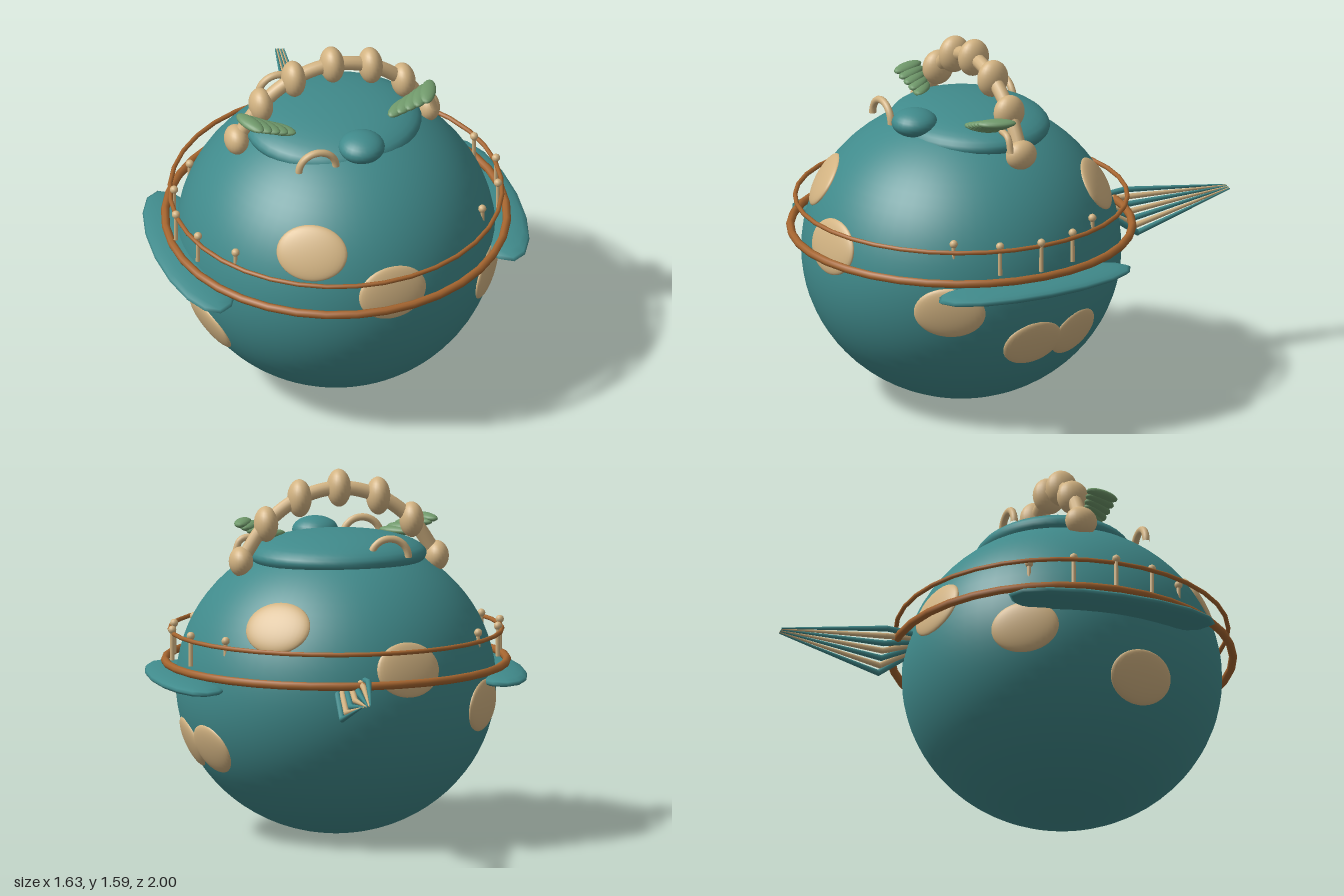
import * as THREE from 'three';

const material = (name, color) => {
  const m = new THREE.MeshStandardMaterial({ color });
  m.name = name;
  return m;
};

export function createModel() {
  const teal = material('teal', 0x408a8b);
  const tan = material('tan', 0xd2b382);
  const wood = material('wood', 0xa5652f);
  const green = material('leaf green', 0x70996b);

  const model = new THREE.Group();
  const CZ = 0.24; // body centre in z
  const V = (x, y, z) => new THREE.Vector3(x, y, z);

  const add = (name, geometry, mat, pos = [0, 0, 0], parent = model) => {
    const mesh = new THREE.Mesh(geometry, mat);
    mesh.name = name;
    mesh.position.set(...pos);
    parent.add(mesh);
    return mesh;
  };
  const group = (name) => {
    const g = new THREE.Group();
    g.name = name;
    model.add(g);
    return g;
  };
  const ellipsoid = (name, mat, pos, radii, parent = model, w = 24, h = 16) =>
    add(name, new THREE.SphereGeometry(1, w, h).scale(...radii), mat, pos, parent);

  // Tapered rod between two points
  const rod = (name, mat, a, b, ra, rb, parent) => {
    const dir = b.clone().sub(a);
    const mesh = add(name, new THREE.CylinderGeometry(rb, ra, dir.length(), 8), mat,
      a.clone().add(b).multiplyScalar(0.5).toArray(), parent);
    mesh.quaternion.setFromUnitVectors(V(0, 1, 0), dir.normalize());
    return mesh;
  };

  // Body, lid and knob
  ellipsoid('body', teal, [0, 0.65, CZ], [0.69, 0.65, 0.69], model, 64, 40);
  ellipsoid('lid', teal, [0, 1.22, 0.2], [0.385, 0.1, 0.335], model, 40, 20);
  ellipsoid('knob', teal, [0.04, 1.278, 0.49], [0.1, 0.06, 0.1]);

  // Oval spots lying on the body
  const spots = group('spots');
  [
    [-0.27, 0.97, 0.77, 0.155, 0.122],
    [0.055, 0.785, 0.9, 0.155, 0.12],
    [0.565, 0.595, 0.605, 0.155, 0.115],
    [0.64, 0.41, 0.235, 0.14, 0.115],
    [0.6, 0.41, 0.01, 0.13, 0.115],
    [-0.61, 0.41, 0.39, 0.15, 0.12],
    [0.36, 0.98, -0.24, 0.15, 0.12],
    [-0.19, 0.8, -0.4, 0.15, 0.12],
    [-0.573, 0.59, -0.126, 0.15, 0.115],
  ].forEach(([x, y, z, a, b]) => {
    const d = V(x / 0.69, (y - 0.65) / 0.65, (z - CZ) / 0.69).normalize();
    const p = V(d.x * 0.69, 0.65 + d.y * 0.65, CZ + d.z * 0.69);
    const n = V(d.x / 0.69, d.y / 0.65, d.z / 0.69).normalize();
    const spot = ellipsoid('spot', tan, p.clone().addScaledVector(n, -0.014).toArray(), [a, b, 0.03], spots, 32, 20);
    spot.lookAt(p.add(n));
  });

  // Railing around the body
  const railing = group('railing');
  add('lowerRail', new THREE.TorusGeometry(0.737, 0.018, 8, 36).rotateX(Math.PI / 2), wood, [0, 0.75, CZ], railing);
  add('upperRail', new THREE.TorusGeometry(0.716, 0.01, 8, 36).rotateX(Math.PI / 2), wood, [0, 0.885, CZ], railing);
  for (const side of [-1, 1]) {
    for (const [x, dz] of [[0.72, 0], [0.675, 0.178], [0.675, -0.178], [0.555, 0.34], [0.555, -0.34]]) {
      rod('post', tan, V(side * x, 0.77, CZ + dz), V(side * x, 0.895, CZ + dz), 0.01, 0.009, railing);
      add('postCap', new THREE.SphereGeometry(0.018, 12, 8), tan, [side * x, 0.902, CZ + dz], railing);
    }
    // Flat side fins
    ellipsoid('sideFin', teal, [side * 0.66, 0.69, CZ], [0.155, 0.036, 0.47], model, 16, 12);
  }

  // Arched handle with beads
  const handle = group('handle');
  const beads = [[-0.43, 1.2, 0.065], [-0.32, 1.36, 0.077], [-0.173, 1.468, 0.082], [0, 1.508, 0.082],
    [0.173, 1.468, 0.082], [0.32, 1.36, 0.077], [0.43, 1.2, 0.065]];
  const arch = new THREE.CatmullRomCurve3(beads.map(([x, y]) => V(x, y, 0.18)));
  add('handleTube', new THREE.TubeGeometry(arch, 48, 0.031, 12), tan, [0, 0, 0], handle);
  beads.forEach(([x, y, r]) => ellipsoid('bead', tan, [x, y, 0.18], [0.052, r, 0.071], handle));

  // Fanned leaves at both ends of the handle
  const leaves = group('leaves');
  for (const side of [-1, 1]) {
    for (let i = 0; i < 5; i++) {
      const leaf = ellipsoid('leaf', green, [side * (0.4 - i * 0.031), 1.352 - i * 0.014, 0.285],
        [0.035, 0.02, 0.085], leaves, 16, 10);
      leaf.rotation.y = -side * (0.4 + i * 0.12);
    }
  }

  // Small loops on the shoulders
  for (const [y, z] of [[1.235, 0.535], [1.235, -0.065]]) {
    add('loop', new THREE.TorusGeometry(0.083, 0.016, 10, 24, Math.PI), tan, [-0.173, y, z]);
  }
  const hook = new THREE.CatmullRomCurve3([V(0.36, 1.3, 0.24), V(0.42, 1.285, 0.24), V(0.445, 1.22, 0.24)]);
  add('hook', new THREE.TubeGeometry(hook, 12, 0.015, 8), tan);

  // Tail of rods spreading from the body and meeting at a point
  const tail = group('tail');
  for (let i = 0; i < 7; i++) {
    const t = i / 6;
    const mat = i % 2 ? tan : teal;
    const base = V(0.01 + 0.12 * t, 0.765 - 0.05 * t, -0.42);
    const bend = V(0.02 + 0.115 * t, 0.778 - 0.16 * t, -0.55);
    const tip = V(0.103 + 0.037 * t, 0.748 - 0.006 * t, -1);
    rod('tailRoot', mat, base, bend, 0.013, 0.013, tail);
    add('tailJoint', new THREE.SphereGeometry(0.013, 8, 6), mat, bend.toArray(), tail);
    rod('tailRod', mat, bend, tip, 0.013, 0.003, tail);
  }

  return model;
}
